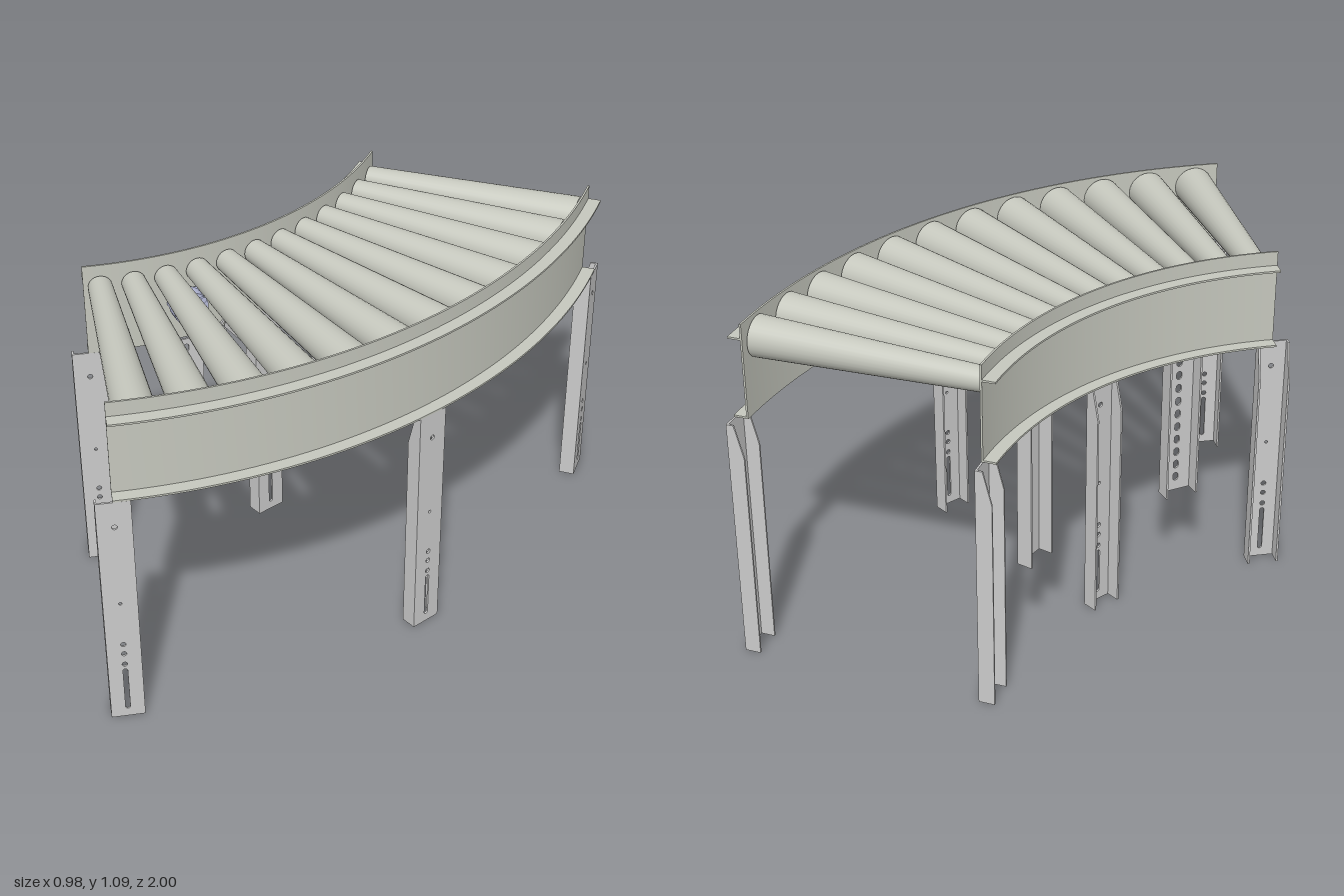
import * as THREE from 'three';
import { toCreasedNormals } from 'three/addons/utils/BufferGeometryUtils.js';

const R_IN = 1.15, R_OUT = 1.865, LIP = 0.046, BASE = 0.785, T = 0.006;
const CENTRE_X = -1.42, HALF = Math.PI / 6;
const deg = THREE.MathUtils.degToRad;
const steel = new THREE.MeshStandardMaterial({ color: 0xcccccc, side: THREE.DoubleSide });
const rollerSteel = new THREE.MeshStandardMaterial({ color: 0xc6c8be, side: THREE.DoubleSide });
const motorPaint = new THREE.MeshStandardMaterial({ color: 0xb9bedd });

function add(parent, name, geometry, material = steel) {
  const mesh = new THREE.Mesh(geometry, material);
  mesh.name = name;
  parent.add(mesh);
  return mesh;
}

// Group turned to an angle of the bend: local x is radial, local z tangential
function station(parent, name, angle) {
  const g = new THREE.Group();
  g.name = name;
  g.rotation.y = -angle;
  parent.add(g);
  return g;
}

const polygon = pts => new THREE.Shape(pts.map(p => new THREE.Vector2(...p)));

// Upright slot outline, round when y0 equals y1
function slot(Kind, x, y0, y1, r) {
  const p = new Kind();
  p.absarc(x, y1, r, 0, Math.PI, false);
  p.absarc(x, y0, r, Math.PI, Math.PI * 2, false);
  p.closePath();
  return p;
}

function plate(shape, holes = []) {
  shape.holes.push(...holes.map(([x, y0, y1, r]) => slot(THREE.Path, x, y0, y1, r)));
  return new THREE.ExtrudeGeometry(shape, { depth: T, bevelEnabled: false, curveSegments: 6 })
    .translate(0, 0, -T / 2);
}

// Curved channel rail; dir is the radial direction its lips point
function rail(parent, name, r, dir) {
  const a = r + dir * T, b = r + dir * LIP;
  const pts = [[r, BASE], [b, BASE], [b, BASE + T], [a, BASE + T], [a, 1.036],
    [b, 1.036], [b, 1.042], [a, 1.042], [a, 1.087], [r, 1.087]];
  const g = new THREE.Group();
  g.name = name;
  parent.add(g);
  const loop = [...pts, pts[0]].map(p => new THREE.Vector2(...p));
  if (dir < 0) loop.reverse();
  const sweep = new THREE.LatheGeometry(loop, 48, Math.PI / 2 - HALF, HALF * 2);
  add(g, 'railChannel', toCreasedNormals(sweep, 0.5), rollerSteel);
  for (const s of [-1, 1]) {
    add(g, 'railEnd', new THREE.ShapeGeometry(polygon(pts)), rollerSteel).rotation.y = -s * HALF;
  }
}

// Channel upright: punched web with two side flanges pointing to the bend centre
function upright(parent, name, angle, r, halfWidth, bottom, chamfer, holes) {
  const g = station(parent, name, angle);
  const web = polygon([[-halfWidth, bottom], [halfWidth, bottom], [halfWidth, BASE], [-halfWidth, BASE]]);
  add(g, 'web', plate(web, holes).rotateY(Math.PI / 2)).position.x = r - T / 2;
  for (const s of [-1, 1]) {
    const side = polygon([[0, bottom], [0, BASE], [chamfer ? -0.023 : -0.05, BASE],
      [-0.05, chamfer ? 0.68 : BASE], [-0.05, bottom]]);
    add(g, 'flange', plate(side)).position.set(r, 0, s * (halfWidth - T / 2));
  }
}

// Cross brace: channel open below, with a slanted slotted tab at each end
function brace(parent, angle) {
  const g = station(parent, 'crossBrace', angle);
  const r0 = R_IN + 0.005, r1 = R_OUT - 0.005, mid = (r0 + r1) / 2;
  add(g, 'braceTop', new THREE.BoxGeometry(r1 - r0, T, 0.05)).position.set(mid, 0.823, 0);
  for (const s of [-1, 1]) {
    const side = polygon([[r0, BASE], [r1, BASE], [r1, 0.826], [r0 + 0.015, 0.826]]);
    const holes = [1.37, 1.395, 1.63, 1.655].map(x => [x, 0.802, 0.802, 0.005]);
    add(g, 'braceSide', plate(side, holes)).position.z = s * 0.024;
  }
  for (const r of [r0, r1]) {
    const ring = plate(slot(THREE.Shape, 0, -0.045, 0.045, 0.016), [[0, -0.045, 0.045, 0.008]]);
    ring.rotateZ(Math.PI / 4).rotateY(-Math.PI / 2);
    add(g, 'slottedTab', ring).position.set(r, 0.818, 0);
  }
}

// Drive unit on the inner rail with a radial output shaft
function drive(parent, angle) {
  const g = station(parent, 'driveUnit', angle);
  const drum = (name, r, x0, x1, y, z = 0) => {
    const geo = new THREE.CylinderGeometry(r, r, x1 - x0, 24).rotateZ(Math.PI / 2);
    add(g, name, geo, motorPaint).position.set((x0 + x1) / 2, y, z);
  };
  drum('motorBody', 0.045, R_IN, 1.2, 0.925);
  drum('gearCase', 0.055, 1.18, 1.225, 0.925);
  drum('shaftHub', 0.022, 1.22, 1.262, 0.945);
  drum('outputShaft', 0.007, 1.25, 1.346, 0.945);
  for (let i = 0; i < 5; i++) {
    const a = i * Math.PI * 0.4;
    drum('caseLug', 0.01, 1.16, 1.232, 0.925 + 0.045 * Math.sin(a), 0.045 * Math.cos(a));
  }
}

export function createModel() {
  const model = new THREE.Group();
  model.name = 'curvedRollerConveyor';
  const bend = new THREE.Group();
  bend.name = 'bend';
  bend.position.x = CENTRE_X;
  model.add(bend);

  rail(bend, 'innerRail', R_IN, -1);
  rail(bend, 'outerRail', R_OUT, 1);

  // Tapered rollers every five degrees
  const length = R_OUT - R_IN - 0.012;
  for (let i = 0; i < 12; i++) {
    const g = station(bend, 'roller', deg(-27.5 + 5 * i));
    const cone = new THREE.CylinderGeometry(0.037, 0.063, length, 28).rotateZ(Math.PI / 2);
    add(g, 'taperedRoller', cone, rollerSteel).position.set((R_IN + R_OUT) / 2, 1.017, 0);
  }

  // Floor legs at both ends and the middle of each rail
  const legHoles = [[0, 0.7, 0.7, 0.008], [0, 0.427, 0.427, 0.005], [0, 0.035, 0.175, 0.007],
    ...[0.2, 0.24, 0.275].map(y => [0, y, y, 0.008])];
  for (const a of [-HALF, 0, HALF]) {
    upright(bend, 'innerLeg', a, R_IN, 0.05, 0, true, legHoles);
    upright(bend, 'outerLeg', a, R_OUT + LIP, 0.05, 0, true, legHoles);
  }

  // Short hanging posts and drive units under the inner rail
  const postHoles = Array.from({ length: 10 }, (_, i) => [0, 0.342 + i * 0.045, 0.352 + i * 0.045, 0.009]);
  for (const s of [-1, 1]) {
    upright(bend, 'hangingPost', s * deg(15), 1.163, 0.055, 0.3, false, postHoles);
    drive(bend, s * deg(15));
  }

  for (const a of [26, 7, -5]) brace(bend, deg(a));
  return model;
}
